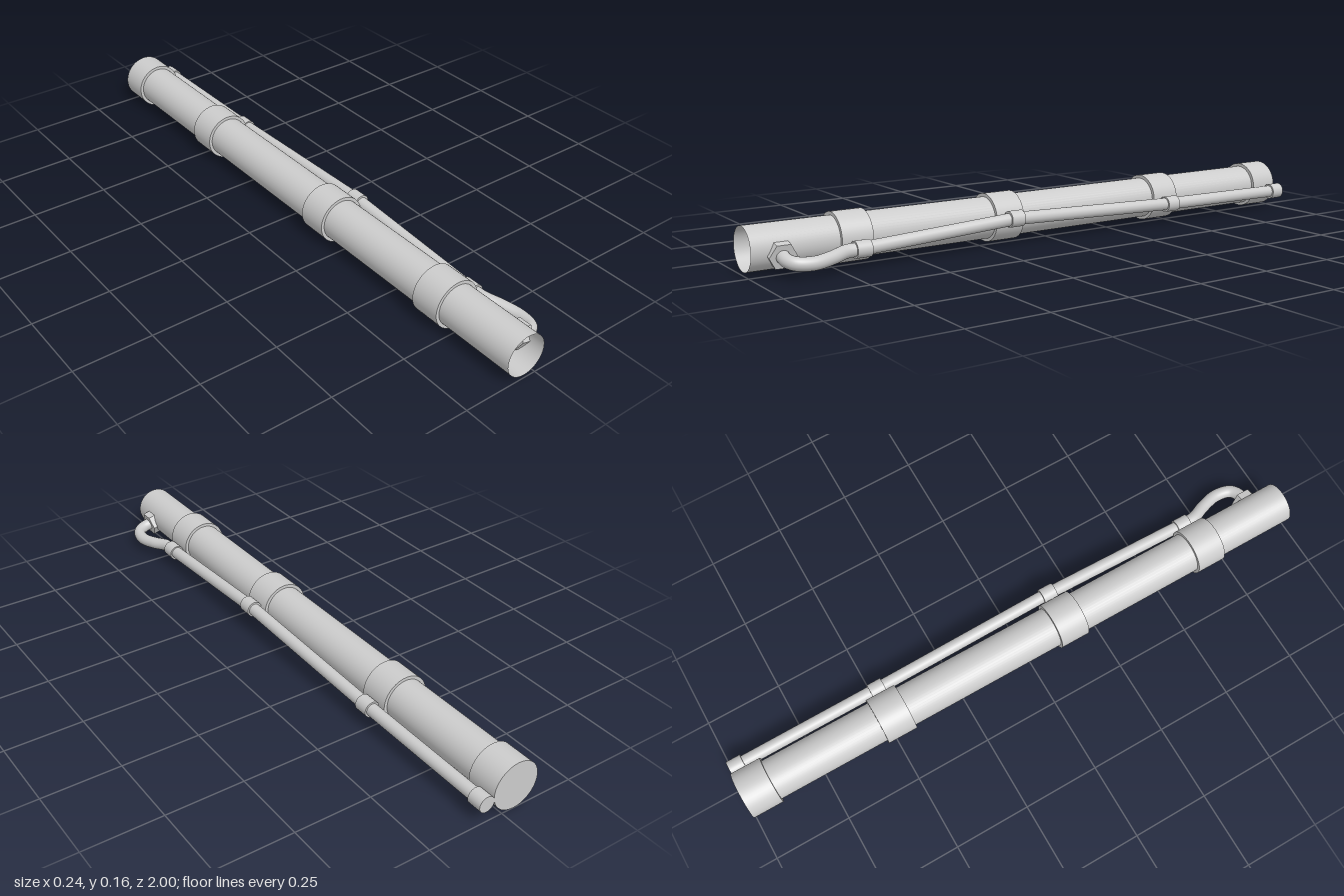
import * as THREE from 'three';

const material = new THREE.MeshStandardMaterial({ color: 0xcccccc });
const openMaterial = new THREE.MeshStandardMaterial({ color: 0xcccccc, side: THREE.DoubleSide });

const BARREL = new THREE.Vector3(-0.042, 0.0795, 0); // barrel axis
const BARREL_R = 0.067, BAND_R = 0.0775, PIPE_R = 0.0205, COLLAR_R = 0.026;

export function createModel() {
  const group = new THREE.Group();
  const add = (name, geometry, mat = material) => {
    const mesh = new THREE.Mesh(geometry, mat);
    mesh.name = name;
    group.add(mesh);
    return mesh;
  };
  // Cylinder running along z between two depths
  const rod = (name, r, x, y, z0, z1, open = false) => {
    const geometry = new THREE.CylinderGeometry(r, r, z1 - z0, 48, 1, open);
    geometry.rotateX(Math.PI / 2);
    const mesh = add(name, geometry, open ? openMaterial : material);
    mesh.position.set(x, y, (z0 + z1) / 2);
    return mesh;
  };

  // Main barrel, open at the front
  rod('barrel', BARREL_R, BARREL.x, BARREL.y, -1, 1, true);

  // Raised bands around the barrel
  for (const z0 of [-1, -0.53, 0.105, 0.63]) {
    rod('band', BAND_R, BARREL.x, BARREL.y, z0, z0 + 0.1, true);
    for (const z of [z0, z0 + 0.1]) {
      const ring = add('bandEdge', new THREE.RingGeometry(BARREL_R, BAND_R, 48), openMaterial);
      ring.position.set(BARREL.x, BARREL.y, z);
    }
  }

  // Closed rear end
  const cap = add('rearCap', new THREE.CircleGeometry(BARREL_R, 48), openMaterial);
  cap.position.set(BARREL.x, BARREL.y, -1);

  // Thin side pipe: straight runs that kink at each collar
  const joints = [
    [0.059, 0.062, -0.998], [0.059, 0.067, -0.48], [0.06, 0.087, 0.155], [0.058, 0.058, 0.68],
  ].map((p) => new THREE.Vector3(...p));
  for (let i = 0; i < joints.length - 1; i++) {
    const run = new THREE.LineCurve3(joints[i], joints[i + 1]);
    add('sidePipe', new THREE.TubeGeometry(run, 1, PIPE_R, 24));
  }

  // Collars on the side pipe, the last one closing its rear end
  for (const p of joints) {
    const z0 = Math.max(p.z - 0.024, -1);
    rod('pipeCollar', COLLAR_R, p.x, p.y, z0, z0 + 0.048);
  }

  // Hooked bend leading from the pipe into the barrel
  const bend = new THREE.CatmullRomCurve3([
    joints[3],
    new THREE.Vector3(0.06, 0.057, 0.73),
    new THREE.Vector3(0.082, 0.05, 0.785),
    new THREE.Vector3(0.096, 0.045, 0.845),
    new THREE.Vector3(0.085, 0.048, 0.893),
    new THREE.Vector3(0.06, 0.054, 0.91),
    new THREE.Vector3(0.02, 0.064, 0.91),
  ]);
  add('pipeBend', new THREE.TubeGeometry(bend, 60, PIPE_R, 24));

  // Hexagonal nut seated radially on the barrel
  const axis = new THREE.Vector3(0.97, -0.24, 0).normalize();
  const hex = new THREE.CylinderGeometry(0.042, 0.042, 0.041, 6).toNonIndexed();
  hex.computeVertexNormals();
  const nut = add('hexNut', hex);
  nut.quaternion.setFromUnitVectors(new THREE.Vector3(0, 1, 0), axis);
  nut.position.copy(BARREL).addScaledVector(axis, 0.06).setZ(0.91);

  return group;
}
